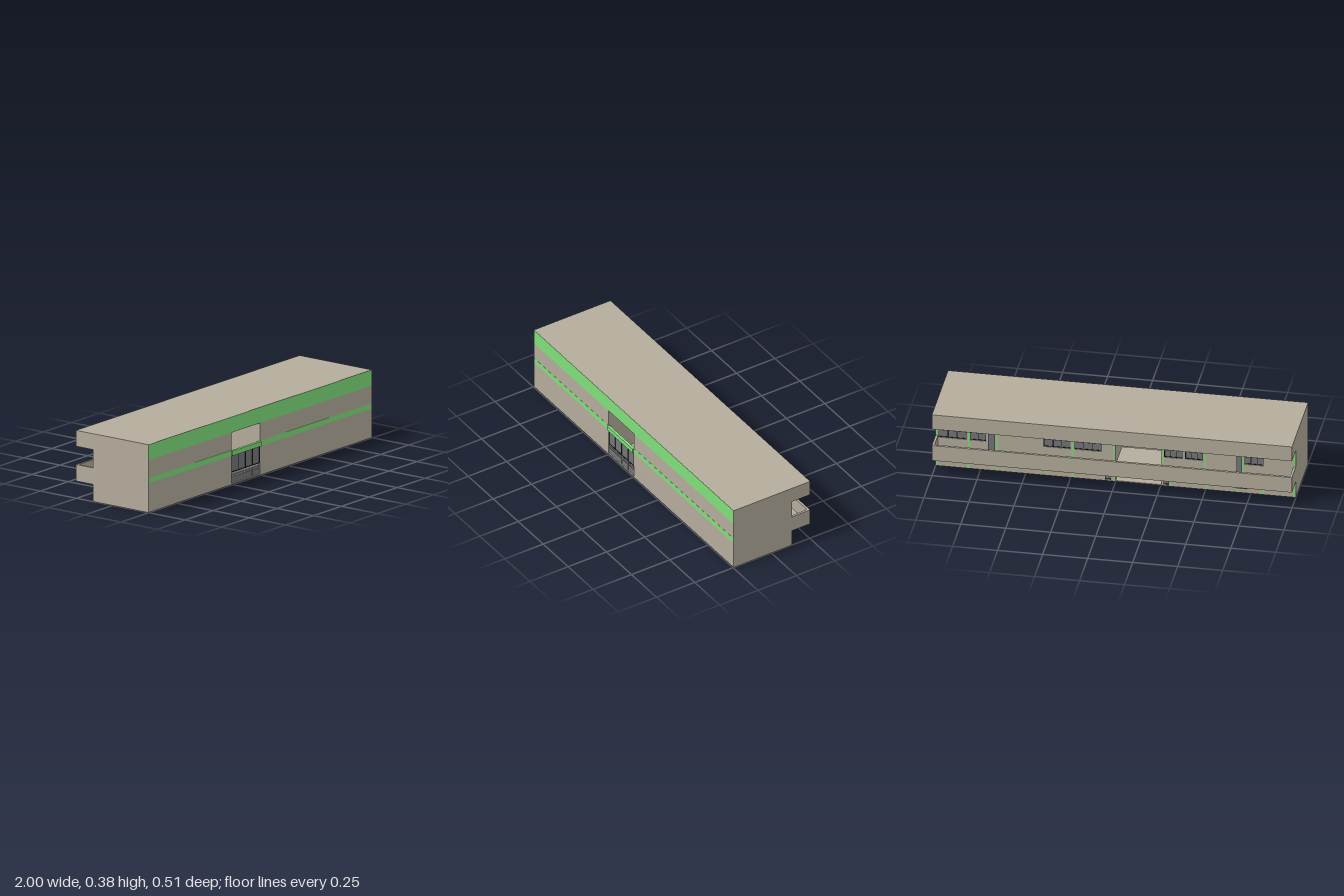
import * as THREE from 'three';

const mat = (color) => new THREE.MeshStandardMaterial({ color });
const TAN = mat(0xb4ac9c), GREEN = mat(0x80de7a), GLASS = mat(0x747678), DARK = mat(0x1c1c1e), PALE = mat(0xb0b0b0);

const BACK = -0.253, WALL = -0.135, FRONT = 0.246; // main depths (z)
const GAP = [-0.255, 0];                           // open passage (x)
const FLOOR = 0.11, CEIL = 0.295, TOP = 0.384;     // main heights (y)

export function createModel() {
  const root = new THREE.Group();
  root.name = 'building';

  // box given by its extents
  const box = (name, material, x0, x1, y0, y1, z0, z1, parent = root) => {
    const m = new THREE.Mesh(new THREE.BoxGeometry(x1 - x0, y1 - y0, z1 - z0), material);
    m.position.set((x0 + x1) / 2, (y0 + y1) / 2, (z0 + z1) / 2);
    m.name = name;
    parent.add(m);
    return m;
  };

  // openings on the gallery side: [x0, x1, y0, y1, columns, rows]
  const LOW = [0.036, 0.092], UP = [0.18, 0.268];
  const wings = [
    {
      name: 'longWing', x: [GAP[1], 1], openings: [
        [0.83, 0.985, ...LOW, 3, 2], [0.665, 0.81, ...LOW, 3, 2],
        [0.25, 0.38, ...LOW, 4, 2], [0.085, 0.23, ...LOW, 4, 2],
        [0.025, 0.06, 0.008, 0.092, 1, 1],
        [0.83, 0.985, ...UP, 3, 2], [0.72, 0.81, ...UP, 2, 2],
        [0.67, 0.71, FLOOR, 0.268, 1, 1],
        [0.25, 0.40, ...UP, 3, 2], [0.08, 0.23, ...UP, 3, 2],
      ],
    },
    {
      name: 'shortWing', x: [-1, GAP[0]], openings: [
        [-0.295, -0.265, 0.008, 0.092, 1, 1],
        [-0.40, -0.31, ...LOW, 3, 2], [-0.50, -0.41, ...LOW, 3, 2],
        [-0.81, -0.69, ...LOW, 3, 2], [-0.98, -0.83, ...LOW, 3, 2],
        [-0.37, -0.268, ...UP, 3, 2], [-0.485, -0.385, ...UP, 3, 2],
        [-0.70, -0.67, FLOOR, 0.268, 1, 1], [-0.82, -0.715, ...UP, 3, 2],
      ],
    },
  ];

  for (const { name, x: [x0, x1], openings } of wings) {
    const wing = new THREE.Group();
    wing.name = name;
    root.add(wing);
    box('wingCore', TAN, x0, x1, 0, 0.33, WALL + 0.012, FRONT, wing);

    // gallery wall pierced by windows and doors
    const shape = new THREE.Shape();
    shape.moveTo(x0, 0).lineTo(x1, 0).lineTo(x1, 0.33).lineTo(x0, 0.33).closePath();
    for (const [a, b, c, d] of openings) {
      const hole = new THREE.Path();
      hole.moveTo(a, c).lineTo(a, d).lineTo(b, d).lineTo(b, c).closePath();
      shape.holes.push(hole);
    }
    const wall = new THREE.Mesh(new THREE.ExtrudeGeometry(shape, { depth: 0.0125, bevelEnabled: false }), TAN);
    wall.position.z = WALL;
    wall.name = 'galleryWall';
    wing.add(wall);

    // glazing with dark bars
    for (const [a, b, c, d, cols, rows] of openings) {
      const win = new THREE.Group();
      win.name = cols === 1 ? 'door' : 'window';
      wing.add(win);
      box('pane', GLASS, a, b, c, d, WALL + 0.007, WALL + 0.012, win);
      for (let i = 0; i <= cols; i++) {
        const x = a + 0.0015 + (b - a - 0.003) * i / cols;
        box('upright', DARK, x - 0.0015, x + 0.0015, c, d, WALL + 0.004, WALL + 0.008, win);
      }
      for (let j = 0; j <= rows; j++) {
        const y = c + 0.0015 + (d - c - 0.003) * j / rows;
        box('crossbar', DARK, a, b, y - 0.0015, y + 0.0015, WALL + 0.0042, WALL + 0.0082, win);
      }
    }
    // green band above the upper windows
    box('lintelBand', GREEN, x0 + 0.001, x1 - 0.001, 0.27, 0.32, WALL - 0.001, WALL + 0.002, wing);
  }

  // green posts on the gallery side
  const posts = (xs, y0, y1) => xs.forEach((x) =>
    box('post', GREEN, x - 0.0045, x + 0.0045, y0, y1, WALL - 0.0012, WALL + 0.004));
  posts([0.995, 0.82, 0.655, 0.39, 0.24, 0.01, -0.302, -0.505, -0.675, -0.82, -0.995], 0.004, 0.098);
  posts([0.995, 0.815, 0.66, 0.24, 0.01, -0.2605, -0.495, -0.706, -0.995], FLOOR, 0.28);

  // roof and gallery: plate plus a rim along the back and both ends
  const tray = (name, y0, y1, plate0, plate1, zEnd) => {
    const g = new THREE.Group();
    g.name = name;
    root.add(g);
    box('plate', TAN, -1, 1, plate0, plate1, BACK, zEnd, g);
    box('backRim', TAN, -1, 1, y0, y1, BACK, BACK + 0.013, g);
    for (const s of [-1, 1]) box('endRim', TAN, Math.min(s, s * 0.987), Math.max(s, s * 0.987), y0, y1, BACK, WALL, g);
  };
  tray('roof', 0.294, TOP, 0.32, TOP, FRONT);
  tray('gallery', 0.097, 0.191, 0.101, FLOOR, WALL);

  // passage through the building
  const [g0, g1] = GAP;
  box('passageGround', TAN, g0, g1, 0, 0.006, WALL, FRONT);
  box('passageFloor', TAN, g0, g1, 0.101, FLOOR, WALL, 0.06);
  box('passageCeiling', TAN, g0, g1, CEIL, 0.33, WALL, FRONT);
  box('passageRail', GREEN, g0, g1, 0.165, 0.192, 0.238, 0.254);

  // coloured bands on the front
  box('topBand', GREEN, -0.9995, 0.9995, CEIL, TOP - 0.0005, 0.24, 0.247);
  box('wingBand', GREEN, -0.9995, g0, 0.165, 0.195, 0.24, 0.247);
  box('wingBand', GREEN, g1, 0.9995, 0.165, 0.195, 0.24, 0.247);

  // entrance screen: four bays, glazed above and panelled below
  const screen = new THREE.Group();
  screen.name = 'entranceScreen';
  root.add(screen);
  const bay = (g1 - g0) / 4;
  for (let i = 0; i < 4; i++) {
    const a = g0 + i * bay, b = a + bay;
    box('screenPane', GLASS, a, b, 0.07, 0.165, 0.236, 0.241, screen);
    box('lowerPanel', GLASS, a + 0.001, b - 0.001, 0.008, 0.042, 0.236, 0.241, screen);
    box('midPanel', GLASS, a + 0.001, b - 0.001, 0.047, 0.056, 0.236, 0.241, screen);
  }
  for (let i = 0; i <= 4; i++) {
    const x = Math.min(Math.max(g0 + i * bay, g0 + 0.002), g1 - 0.002);
    box('screenUpright', DARK, x - 0.002, x + 0.002, 0.068, 0.165, 0.234, 0.244, screen);
  }
  for (const y of [0.07, 0.163]) box('screenBar', DARK, g0, g1, y - 0.002, y + 0.002, 0.2345, 0.2435, screen);
  box('screenBacking', PALE, g0, g1, 0.004, 0.07, 0.232, 0.238, screen);

  // thin shelf by the ground floor windows
  box('shelf', TAN, -0.73, -0.67, 0.035, 0.037, -0.152, WALL);

  return root;
}
